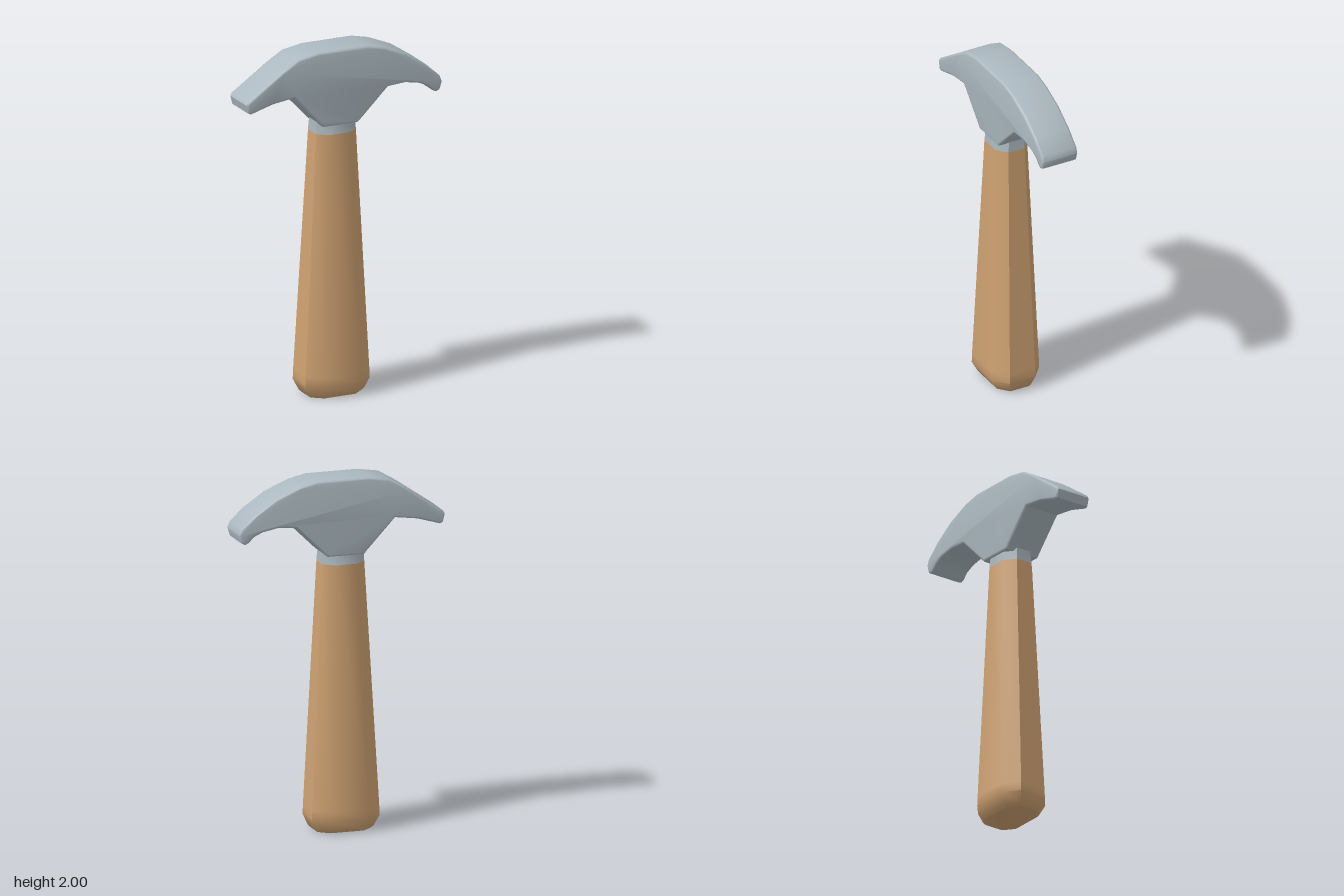
import * as THREE from 'three';
import { toCreasedNormals } from 'three/addons/utils/BufferGeometryUtils.js';

// Lofts chamfered-rectangle rings [y, xMin, xMax, halfZ, cornerX, cornerZ] from bottom to top
function loft(rings) {
  const pos = [], idx = [], n = 8;
  for (const [y, a, b, z, cx, cz] of rings) {
    const ring = [
      [b, z - cz], [b - cx, z], [a + cx, z], [a, z - cz],
      [a, cz - z], [a + cx, -z], [b - cx, -z], [b, cz - z],
    ];
    for (const [px, pz] of ring) pos.push(px, y, pz);
  }
  for (let r = 0; r < rings.length - 1; r++) {
    for (let i = 0; i < n; i++) {
      const j = (i + 1) % n, p = r * n, q = p + n;
      idx.push(p + i, q + j, p + j, p + i, q + i, q + j);
    }
  }
  const last = (rings.length - 1) * n;
  for (let i = 1; i < n - 1; i++) {
    idx.push(0, i, i + 1);
    idx.push(last, last + i + 1, last + i);
  }
  const g = new THREE.BufferGeometry();
  g.setAttribute('position', new THREE.Float32BufferAttribute(pos, 3));
  g.setIndex(idx);
  return toCreasedNormals(g, 0.85);
}

export function createModel() {
  const model = new THREE.Group();
  model.name = 'hammer';
  const wood = new THREE.MeshStandardMaterial({ color: 0xcfa272 });
  wood.name = 'wood';
  const steel = new THREE.MeshStandardMaterial({ color: 0xacb9c0 });
  steel.name = 'steel';

  const add = (name, geometry, material) => {
    const mesh = new THREE.Mesh(geometry, material);
    mesh.name = name;
    model.add(mesh);
    return mesh;
  };

  // Tapered octagonal grip with a chamfered butt
  add('handle', loft([
    [0, -0.185, 0.125, 0.105, 0.06, 0.05],
    [0.015, -0.2, 0.14, 0.118, 0.07, 0.055],
    [0.075, -0.228, 0.165, 0.15, 0.085, 0.07],
    [0.13, -0.226, 0.163, 0.149, 0.085, 0.07],
    [1.515, -0.149, 0.095, 0.1, 0.06, 0.05],
  ]), wood);

  // Short steel neck between grip and head
  add('neck', loft([
    [1.515, -0.149, 0.095, 0.1, 0.06, 0.05],
    [1.57, -0.146, 0.092, 0.096, 0.06, 0.05],
    [1.62, -0.146, 0.092, 0.096, 0.06, 0.05],
  ]), steel);

  // Curved double-ended head, extruded along z with a soft edge
  const outline = [
    [-0.13, 1.567], [0.08, 1.567], [0.1, 1.585], [0.265, 1.747],
    [0.37, 1.755], [0.46, 1.738], [0.51, 1.715], [0.54, 1.685],
    [0.56, 1.675], [0.582, 1.685], [0.596, 1.73], [0.582, 1.765],
    [0.5, 1.84], [0.38, 1.92], [0.24, 1.978], [0.14, 2.0],
    [-0.16, 2.0], [-0.28, 1.98], [-0.38, 1.92], [-0.59, 1.775],
    [-0.6, 1.758], [-0.588, 1.71], [-0.572, 1.703], [-0.44, 1.742],
    [-0.31, 1.76], [-0.15, 1.59],
  ].map(([x, y]) => new THREE.Vector2(x, y));
  const bevel = 0.013, half = 0.11;
  const headGeometry = new THREE.ExtrudeGeometry(new THREE.Shape(outline), {
    depth: 2 * (half - bevel), bevelEnabled: true, bevelThickness: bevel,
    bevelSize: bevel, bevelOffset: -bevel, bevelSegments: 3,
  });
  headGeometry.translate(0, 0, bevel - half);
  add('head', toCreasedNormals(headGeometry, 0.7), steel);

  return model;
}
